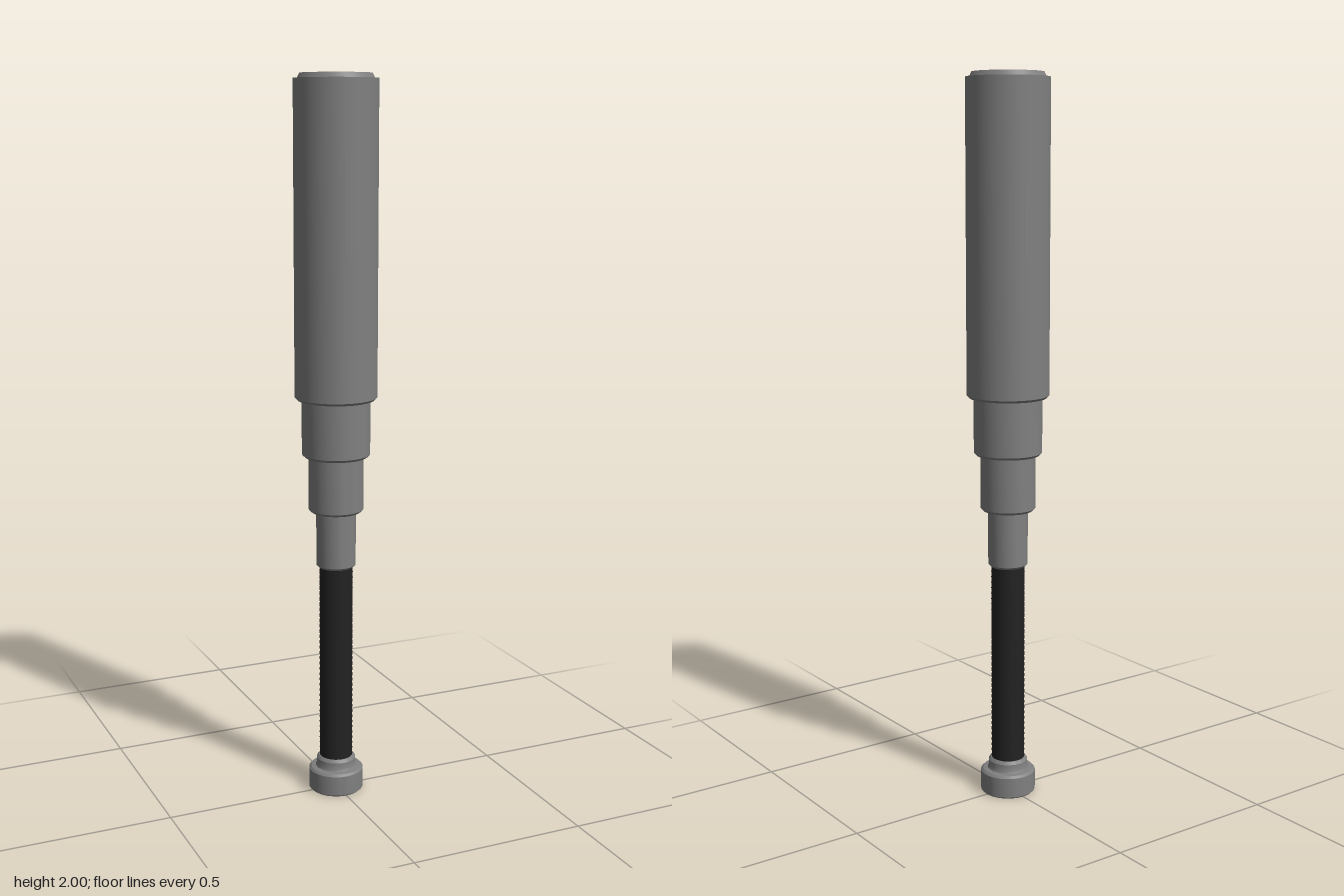
import * as THREE from 'three';
import { toCreasedNormals } from 'three/addons/utils/BufferGeometryUtils.js';

export function createModel() {
  const group = new THREE.Group();
  const metal = new THREE.MeshStandardMaterial({ color: 0x808080 });
  metal.name = 'grey metal';
  const rubber = new THREE.MeshStandardMaterial({ color: 0x222222 });
  rubber.name = 'black rubber';

  // Turned part from a [radius, height] profile running bottom to top
  function turned(name, profile, material) {
    const points = profile.map(([r, y]) => new THREE.Vector2(r, y));
    const geometry = toCreasedNormals(new THREE.LatheGeometry(points, 48), 0.5);
    const mesh = new THREE.Mesh(geometry, material);
    mesh.name = name;
    group.add(mesh);
  }

  // Closed tube with a small chamfer on its lower edge
  function section(name, r, y0, y1) {
    const c = 0.007;
    turned(name, [[0, y0], [r - c, y0], [r, y0 + c], [r, y1], [0, y1]], metal);
  }

  // Pommel: wide foot, chamfered shoulder and a narrow collar
  turned('pommel', [
    [0, 0], [0.073, 0], [0.077, 0.004], [0.077, 0.06], [0.071, 0.066],
    [0.058, 0.068], [0.055, 0.074], [0.055, 0.092], [0.049, 0.1], [0, 0.1],
  ], metal);

  // Grip with fine ribs
  const grip = [[0, 0.095]];
  const ribs = 36;
  for (let i = 0; i <= ribs * 2; i++) {
    grip.push([i % 2 ? 0.047 : 0.0455, 0.095 + (0.575 * i) / (ribs * 2)]);
  }
  grip.push([0, 0.67]);
  turned('grip', grip, rubber);

  // Telescoping shaft
  section('lowerShaft', 0.055, 0.662, 0.83);
  section('middleShaft', 0.076, 0.822, 0.985);
  section('upperShaft', 0.094, 0.978, 1.145);

  // Barrel with a raised, bevelled end cap
  turned('barrel', [
    [0, 1.137], [0.106, 1.137], [0.113, 1.144], [0.113, 1.987], [0, 1.987],
  ], metal);
  turned('endCap', [[0.103, 1.986], [0.096, 2], [0, 2]], metal);

  return group;
}
